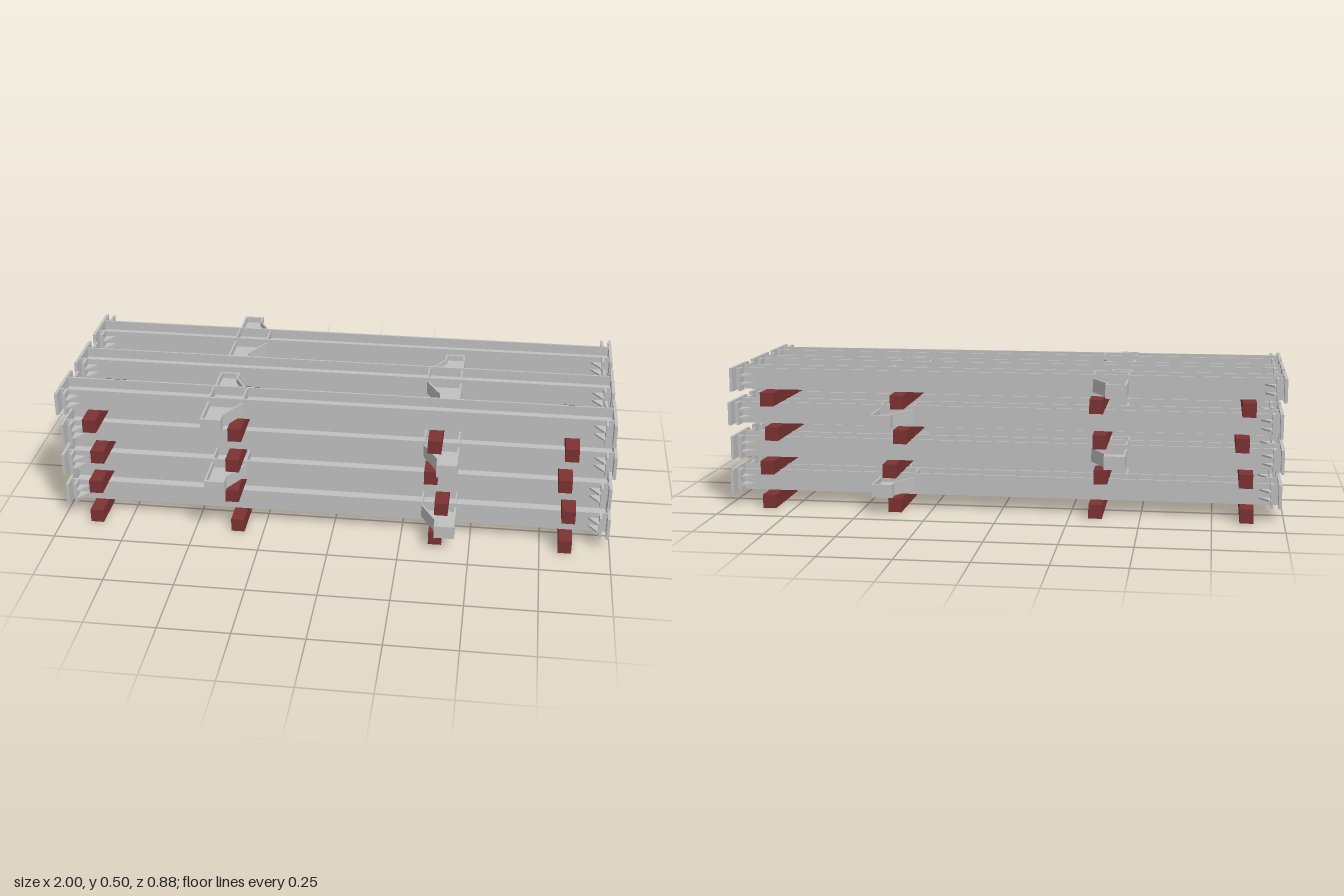
import * as THREE from 'three';

const HALF = 0.993;       // half length of a beam
const DEPTH = 0.05;       // half distance between outer flange faces (z)
const FLANGE = 0.077;     // flange height (y)
const T = 0.007;          // steel thickness

const steel = new THREE.MeshStandardMaterial({ color: 0xc0c0c0 });
steel.name = 'galvanised steel';
const timber = new THREE.MeshStandardMaterial({ color: 0x7d3232 });
timber.name = 'red timber';

function box(parent, name, mat, w, h, d, x, y, z) {
  const mesh = new THREE.Mesh(new THREE.BoxGeometry(w, h, d), mat);
  mesh.name = name;
  mesh.position.set(x, y, z);
  parent.add(mesh);
  return mesh;
}

// Horizontal plate from an outline of [x, z] points, centred on y = 0
function plate(parent, name, points, thickness) {
  const shape = new THREE.Shape(points.map(([x, z]) => new THREE.Vector2(x, -z)));
  const geo = new THREE.ExtrudeGeometry(shape, { depth: thickness, bevelEnabled: false });
  geo.translate(0, 0, -thickness / 2);
  geo.rotateX(-Math.PI / 2);
  const mesh = new THREE.Mesh(geo, steel);
  mesh.name = name;
  parent.add(mesh);
  return mesh;
}

// Tapered bracket on one side of the beam: web, straight flange, sloped flange, end cap
function bracket(s, side) {
  const g = new THREE.Group();
  g.name = 'sideBracket';
  const h = 0.048, back = 0.445 * s, tip = 0.372 * s, root = 0.318 * s;
  const z0 = DEPTH * side, z1 = 0.145 * side, z2 = 0.188 * side;
  plate(g, 'bracketWeb', [[back, z0], [root, z0], [tip, z1], [tip, z2], [back, z2]], T);
  const inner = (p) => p + T * s;
  plate(g, 'slopedFlange', [[root, z0], [tip, z1], [tip, z2],
    [inner(tip), z2], [inner(tip), z1], [inner(root), z0]], h);
  plate(g, 'straightFlange', [[back, z0], [back, z2], [back - T * s, z2], [back - T * s, z0]], h);
  box(g, 'bracketEndCap', steel, Math.abs(back - tip) - 0.004, h, 0.01,
    (back + tip) / 2, 0, z2 - 0.005 * side);
  return g;
}

// H-section lying on its side; s is the end (+x or -x) carrying the brackets
function beam(s) {
  const g = new THREE.Group();
  g.name = 'steelBeam';
  box(g, 'web', steel, HALF * 2 - 0.01, T, DEPTH * 2 - T, 0, 0, 0);
  for (const side of [-1, 1]) {
    box(g, 'flange', steel, HALF * 2 - 0.01, FLANGE, T, 0, 0, (DEPTH - T / 2) * side);
    g.add(bracket(s, side));
  }
  // Stiffeners across the web, in line with the bracket flanges
  for (const x of [0.32, 0.441])
    box(g, 'webStiffener', steel, 0.006, FLANGE - 0.006, DEPTH * 2 - T, x * s, 0, 0);

  for (const e of [-1, 1]) {
    box(g, 'endPlate', steel, 0.011, 0.085, 0.195, (HALF - 0.0055) * e, 0, 0);
    for (const side of [-1, 1]) {
      // Inner plate wing and its two triangular gussets
      box(g, 'innerPlate', steel, 0.009, 0.083, 0.045, 0.959 * e, 0, (DEPTH + 0.0215) * side);
      for (const y of [-0.015, 0.015]) {
        const z0 = (DEPTH - 0.002) * side, z1 = 0.092 * side;
        plate(g, 'gusset', [[0.915 * e, z0], [0.957 * e, z0], [0.957 * e, z1], [0.948 * e, z1]],
          0.006).position.y = y;
      }
    }
  }
  return g;
}

export function createModel() {
  const model = new THREE.Group();
  model.name = 'beamStack';
  const layers = [
    { y: 0.0885, shift: 0.002, s: 1, spacers: [-0.87, -0.343, 0.376, 0.84] },
    { y: 0.2125, shift: -0.003, s: -1, spacers: [-0.865, -0.36, 0.395, 0.845] },
    { y: 0.3375, shift: 0.004, s: 1, spacers: [-0.85, -0.355, 0.355, 0.825] },
    { y: 0.4625, shift: -0.006, s: -1, spacers: [-0.87, -0.343, 0.365, 0.84] },
  ];
  layers.forEach(({ y, shift, s, spacers }, i) => {
    const layer = new THREE.Group();
    layer.name = 'layer' + (i + 1);
    // Neighbouring beams are turned end for end
    [-0.252, 0, 0.252].forEach((z, j) => {
      const b = beam(j === 1 ? -s : s);
      b.position.set(shift, y, z);
      layer.add(b);
    });
    for (const x of spacers)
      box(layer, 'timberSpacer', timber, 0.048, 0.0495, 0.768, x, y - 0.0635, 0);
    model.add(layer);
  });
  return model;
}
